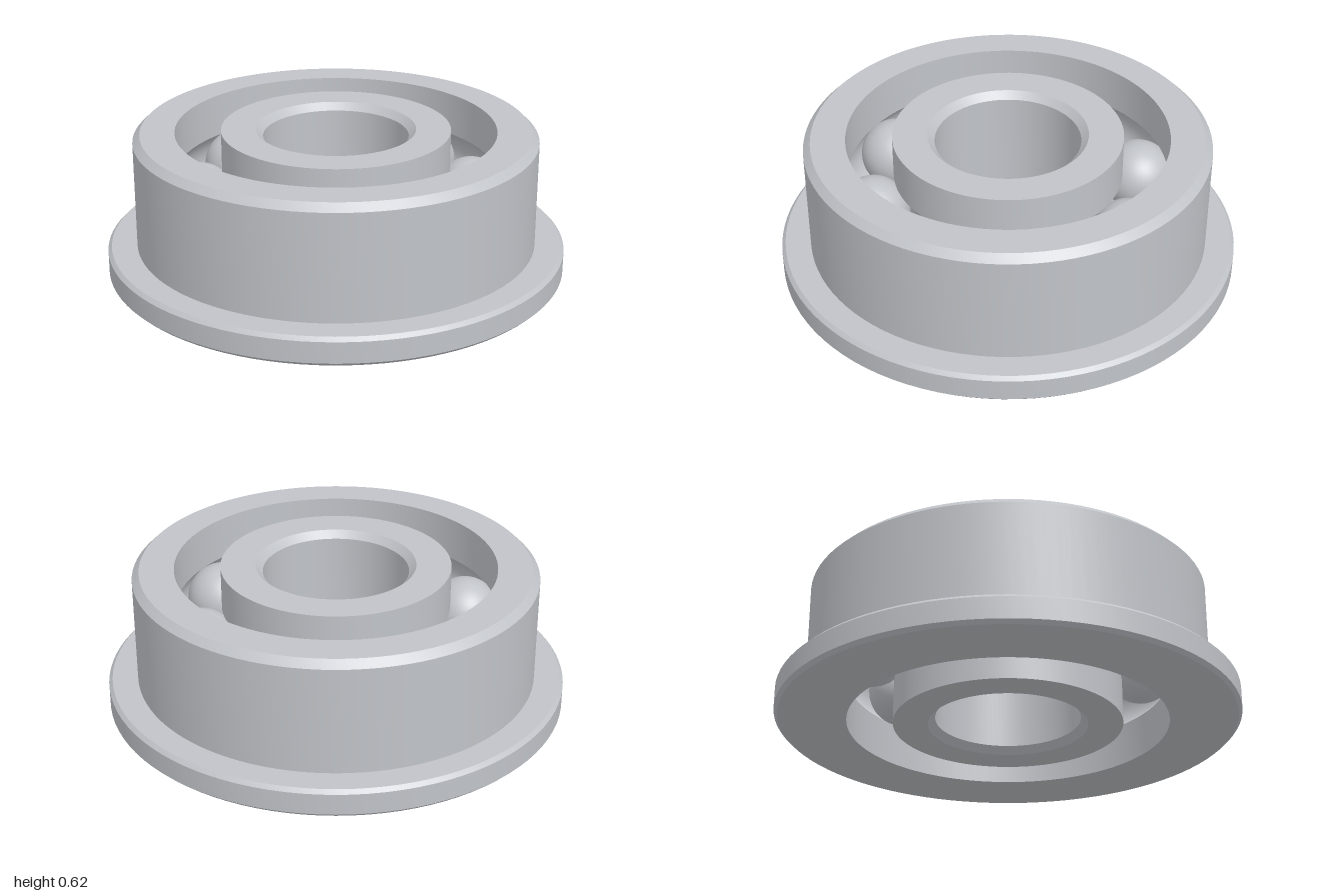
import * as THREE from 'three';
import { toCreasedNormals } from 'three/addons/utils/BufferGeometryUtils.js';

const HEIGHT = 0.625, MID = HEIGHT / 2;
const BALL_R = 0.157, PITCH_R = 0.594;   // ball radius, radius of the ball circle
const INNER_RACE = 0.495, OUTER_RACE = 0.693;

// Arc of a ball groove cut into a race wall; dir +1 runs upward, -1 downward
function groove(raceR, dir) {
  const gap = raceR - PITCH_R;
  const half = Math.acos(Math.abs(gap) / BALL_R);
  const points = [];
  for (let i = 0; i <= 12; i++) {
    const a = dir * half * (i / 6 - 1);
    points.push([PITCH_R + Math.sign(gap) * BALL_R * Math.cos(a), MID + BALL_R * Math.sin(a)]);
  }
  return points;
}

// Closed ring turned from a counterclockwise profile, with sharp edges kept
function turnedRing(name, profile, material) {
  const points = [...profile, profile[0]].map(([r, y]) => new THREE.Vector2(r, y));
  const mesh = new THREE.Mesh(toCreasedNormals(new THREE.LatheGeometry(points, 96), 0.5), material);
  mesh.name = name;
  return mesh;
}

export function createModel() {
  const group = new THREE.Group();
  group.name = 'flangedBallBearing';
  const steel = new THREE.MeshStandardMaterial({ color: 0xc0c3c8 });
  steel.name = 'steel';

  // Outer ring with chamfered flange at the base
  group.add(turnedRing('outerRing', [
    [OUTER_RACE, 0], [0.984, 0], [1, 0.016], [1, 0.109], [0.984, 0.125],
    [0.873, 0.125], [0.873, HEIGHT - 0.031], [0.842, HEIGHT], [OUTER_RACE, HEIGHT],
    ...groove(OUTER_RACE, -1),
  ], steel));

  // Inner ring with chamfered bore
  group.add(turnedRing('innerRing', [
    [0.345, 0], [INNER_RACE, 0],
    ...groove(INNER_RACE, 1),
    [INNER_RACE, HEIGHT], [0.345, HEIGHT], [0.314, HEIGHT - 0.031], [0.314, 0.031],
  ], steel));

  // Eight balls between the races
  const ballGeometry = new THREE.SphereGeometry(BALL_R, 40, 24);
  for (let i = 0; i < 8; i++) {
    const a = (i * Math.PI) / 4;
    const ball = new THREE.Mesh(ballGeometry, steel);
    ball.name = `ball${i + 1}`;
    ball.position.set(PITCH_R * Math.cos(a), MID, PITCH_R * Math.sin(a));
    group.add(ball);
  }
  return group;
}
